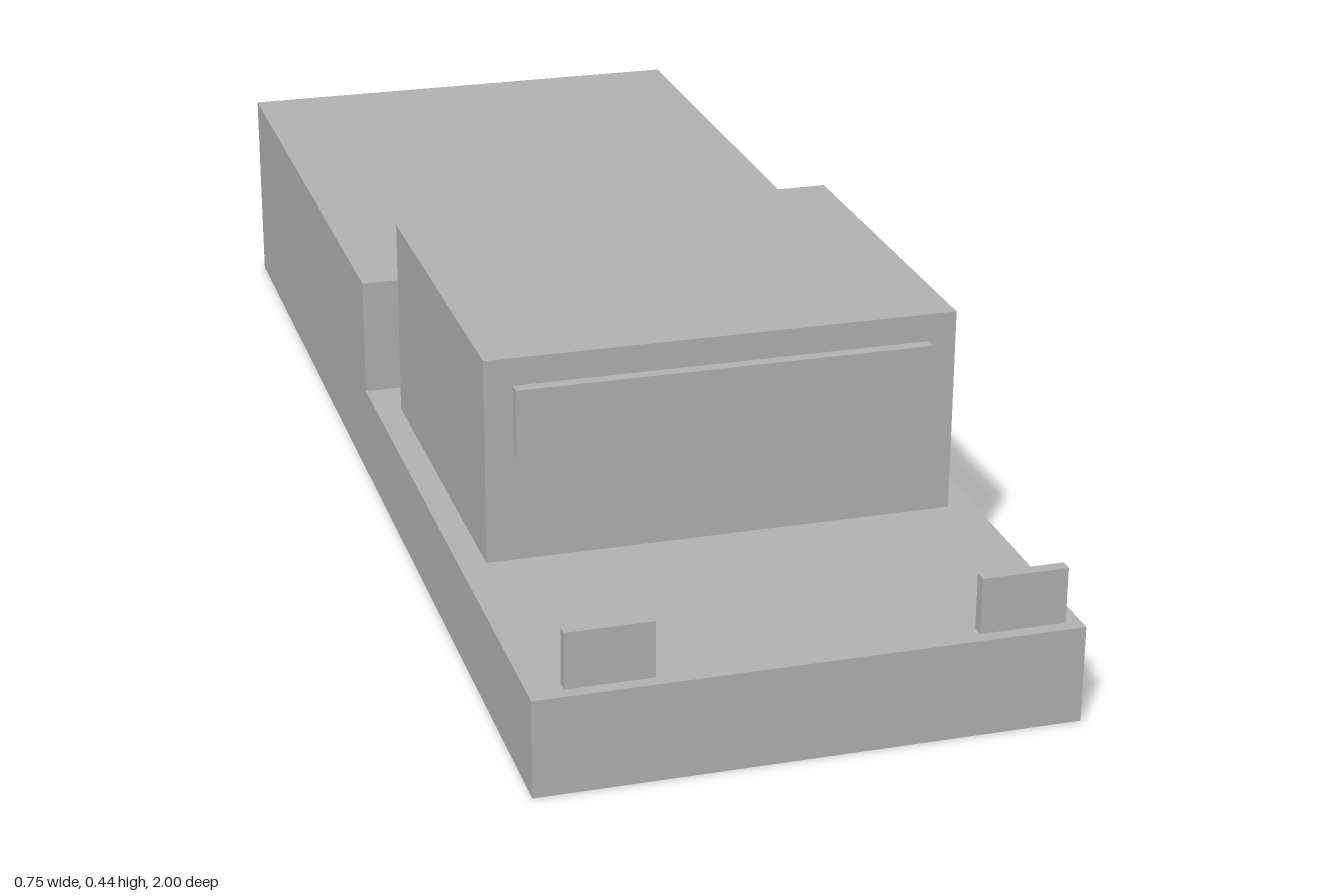
import * as THREE from 'three';

export function createModel() {
  const model = new THREE.Group();
  const grey = new THREE.MeshStandardMaterial({ color: 0xb2b2b2 });
  grey.name = 'plain grey';

  const add = (name, geometry) => {
    const mesh = new THREE.Mesh(geometry, grey);
    mesh.name = name;
    model.add(mesh);
    return mesh;
  };

  // Box given by its lower and upper limits on each axis
  const block = (name, [x0, x1], [y0, y1], [z0, z1]) =>
    add(name, new THREE.BoxGeometry(x1 - x0, y1 - y0, z1 - z0))
      .position.set((x0 + x1) / 2, (y0 + y1) / 2, (z0 + z1) / 2);

  // Low front deck and tall rear bed as one stepped side profile (drawn as -z, y)
  const halfWidth = 0.375;
  const deckY = 0.139;
  const frontZ = 0.983;
  const profile = new THREE.Shape([
    [-frontZ, 0], [1, 0], [1, 0.317], [0.051, 0.317], [0.051, deckY], [-frontZ, deckY],
  ].map(([u, y]) => new THREE.Vector2(u, y)));
  const body = new THREE.ExtrudeGeometry(profile, { depth: 2 * halfWidth, bevelEnabled: false });
  body.translate(0, 0, -halfWidth).rotateY(Math.PI / 2);
  add('body', body);

  // Cabin with its windscreen panel
  block('cabin', [-0.337, 0.337], [deckY, 0.437], [0.031, 0.586]);
  block('windscreen', [-0.297, 0.297], [0.298, 0.397], [0.586, 0.604]);

  // Headlights just ahead of the deck edge
  block('leftHeadlight', [0.218, 0.337], [0.159, 0.238], [frontZ, 1]);
  block('rightHeadlight', [-0.337, -0.218], [0.159, 0.238], [frontZ, 1]);

  return model;
}
